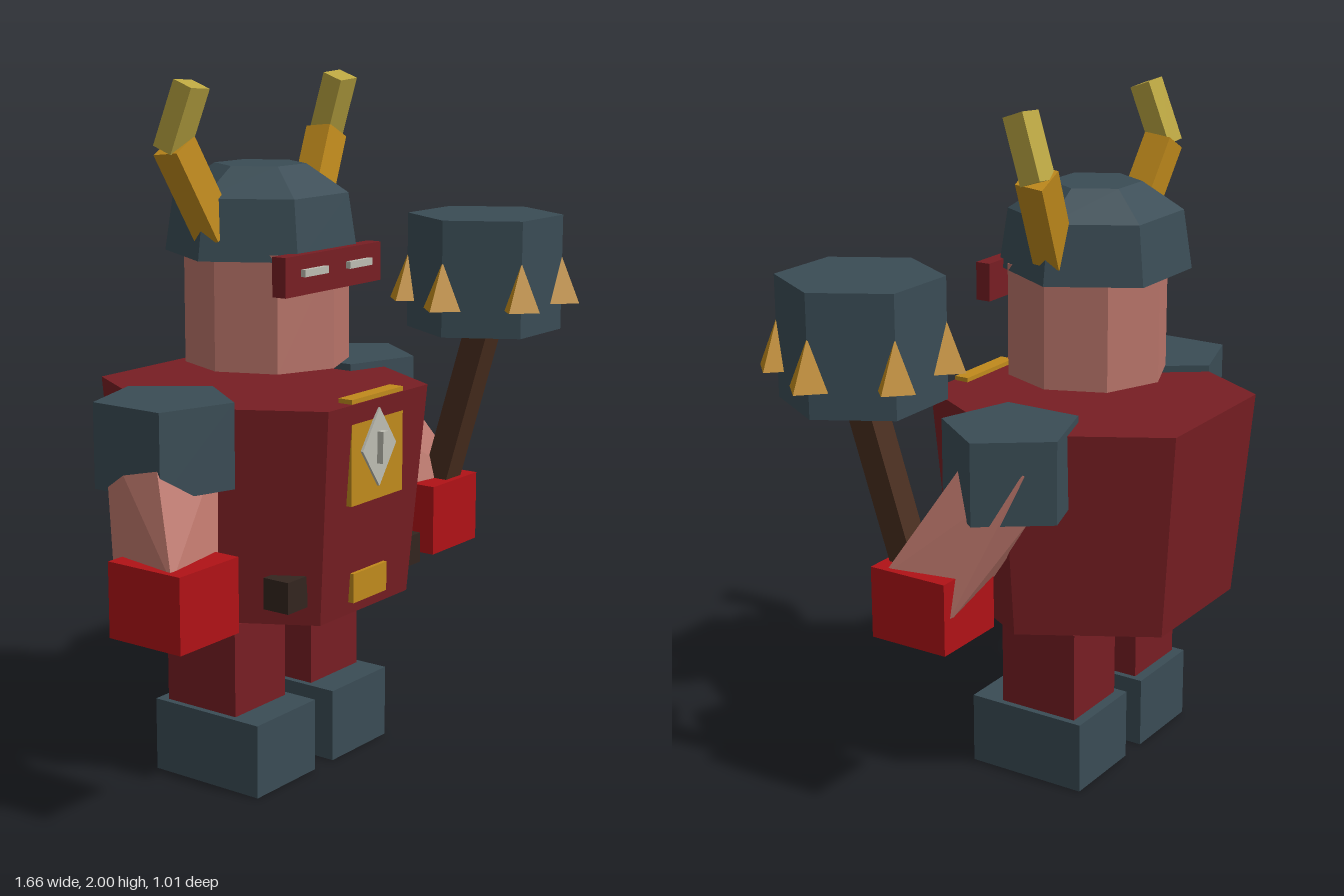
import * as THREE from 'three';
import { ConvexGeometry } from 'three/addons/geometries/ConvexGeometry.js';

const CX = -0.12; // the figure's own mirror plane
const mat = (color) => new THREE.MeshStandardMaterial({ color, flatShading: true });
const M = {
  cloth: mat(0x771e23), slate: mat(0x3a4c55), skin: mat(0xb87469), gold: mat(0xc08a1c),
  paleGold: mat(0xbaa541), glove: mat(0xb01216), wood: mat(0x4a2e1f), pouch: mat(0x33251f), silver: mat(0xbdbdb2),
};
const V = (x, y, z) => new THREE.Vector3(x, y, z);

export function createModel() {
  const model = new THREE.Group();
  model.name = 'hornedWarrior';

  const add = (name, geometry, material, parent = model) => {
    const mesh = new THREE.Mesh(geometry, material);
    mesh.name = name;
    parent.add(mesh);
    return mesh;
  };
  const group = (name) => {
    const g = new THREE.Group();
    g.name = name;
    model.add(g);
    return g;
  };
  // Box given by its limits on each axis
  const box = (name, [x0, x1], [y0, y1], [z0, z1], material, parent) => {
    const mesh = add(name, new THREE.BoxGeometry(x1 - x0, y1 - y0, z1 - z0), material, parent);
    mesh.position.set((x0 + x1) / 2, (y0 + y1) / 2, (z0 + z1) / 2);
    return mesh;
  };
  // Upright prism with its first corner on +x
  const prism = (name, sides, rTop, rBottom, y0, y1, x, z, material, parent) => {
    const g = new THREE.CylinderGeometry(rTop, rBottom, y1 - y0, sides, 1, false, Math.PI / 2);
    const mesh = add(name, g, material, parent);
    mesh.position.set(x, (y0 + y1) / 2, z);
    return mesh;
  };
  // Square bar from one point to another
  const beam = (name, p, q, w, d, material, parent) => {
    const mesh = add(name, new THREE.BoxGeometry(w, p.distanceTo(q), d), material, parent);
    mesh.position.copy(p).lerp(q, 0.5);
    mesh.quaternion.setFromUnitVectors(V(0, 1, 0), q.clone().sub(p).normalize());
    return mesh;
  };

  // Torso, widening upward
  prism('torso', 6, 0.475, 0.42, 0.51, 1.125, CX, -0.092, M.cloth);
  box('chestPlate', [-0.245, 0], [0.838, 1.138], [0.27, 0.315], M.gold);
  box('beltBuckle', [-0.203, -0.043], [0.547, 0.632], [0.25, 0.293], M.gold);
  const gem = add('chestDiamond', new THREE.CylinderGeometry(0.08, 0.08, 0.012, 4), M.silver);
  gem.rotation.x = Math.PI / 2;
  gem.scale.z = 1.4;
  gem.position.set(-0.123, 0.987, 0.317);
  box('chestBar', [-0.135, -0.111], [0.942, 1.033], [0.318, 0.343], M.silver);

  // Head, visor and eyes
  prism('head', 8, 0.236, 0.236, 1.19, 1.52, CX - 0.003, -0.072, M.skin);
  box('visor', [-0.347, 0.097], [1.415, 1.525], [0.122, 0.167], M.cloth);

  // Helmet: brim band and tapered crown
  const helmet = group('helmet');
  prism('helmetBand', 6, 0.25, 0.276, 1.5, 1.67, CX - 0.003, -0.095, M.slate, helmet);
  prism('helmetCrown', 6, 0.131, 0.25, 1.67, 1.75, CX - 0.003, -0.095, M.slate, helmet);

  // Paired parts
  for (const s of [-1, 1]) {
    const side = s < 0 ? 'right' : 'left';
    const X = (d) => CX + s * d;
    const span = (a, b) => (s < 0 ? [X(b), X(a)] : [X(a), X(b)]);

    box(side + 'Eye', span(0.05, 0.157), [1.466, 1.486], [0.16, 0.181], M.silver);

    const horn = group(side + 'Horn');
    beam('hornBase', V(X(0.21), 1.57, -0.09), V(X(0.343), 1.818, -0.12), 0.088, 0.085, M.gold, horn);
    beam('hornTip', V(X(0.347), 1.805, -0.127), V(X(0.334), 1.983, -0.063), 0.078, 0.066, M.paleGold, horn);

    const leg = group(side + 'Leg');
    const lx = s < 0 ? -0.3 : 0.055;
    box('trouserLeg', [lx - 0.115, lx + 0.115], [0.21, 0.485], [-0.213, 0.036], M.cloth, leg);
    box('boot', [lx - 0.134, lx + 0.134], [0, 0.215], [-0.245, 0.13], M.slate, leg);

    // Arm: slanted four-sided bar running into the glove
    const arm = group(side + 'Arm');
    prism('shoulderPad', 5, 0.2, 0.2, 0.905, 1.145, X(0.428), -0.09, M.slate, arm);
    const corners = [
      [0.545, 1.09, -0.04], [0.545, 1.05, -0.21], [0.33, 0.99, 0.01], [0.35, 0.93, -0.17],
      [0.7, 0.73, 0.16], [0.69, 0.62, -0.045], [0.49, 0.69, 0.14], [0.48, 0.62, -0.01],
    ].map(([d, y, z]) => V(X(d), y, z));
    add('forearm', new ConvexGeometry(corners), M.skin, arm);
    box('glove', span(0.468, 0.708), [0.543, 0.755], [-0.055, 0.193], M.glove, arm);

    box(side + 'Pouch', span(0.232, 0.32), [0.565, 0.655], [0.16, 0.245], M.pouch);
  }

  // Spiked hammer in the left hand
  const hammer = group('hammer');
  const hx = 0.538, hz = 0.24;
  beam('hammerShaft', V(0.472, 0.6, 0.095), V(0.535, 1.26, 0.252), 0.08, 0.08, M.wood, hammer);
  prism('hammerHead', 6, 0.232, 0.232, 1.225, 1.57, hx, hz, M.slate, hammer);
  for (let i = 0; i < 6; i++) {
    const a = (i * Math.PI) / 3;
    const spike = add('hammerSpike', new THREE.ConeGeometry(0.065, 0.14, 4), M.gold, hammer);
    spike.position.set(hx + 0.23 * Math.cos(a), 1.378, hz + 0.23 * Math.sin(a));
  }

  return model;
}
